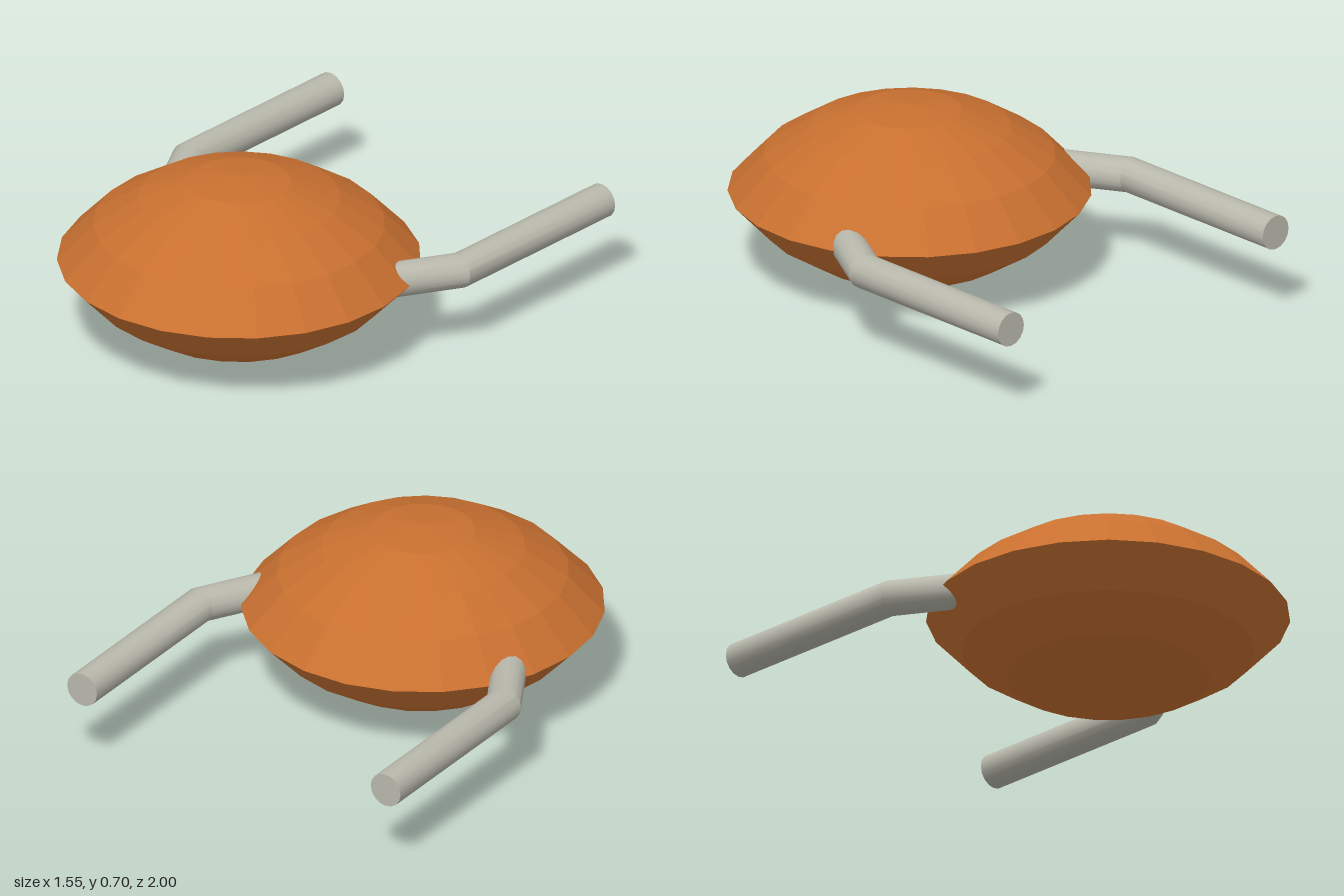
import * as THREE from 'three';
import { toCreasedNormals } from 'three/addons/utils/BufferGeometryUtils.js';

const MID_Y = 0.354;

// Bent handle: a capped cylinder whose three rings follow the path
function handleGeometry(side) {
  const rings = [
    { x: 0.705, z: -1, u: 1, w: 0 },          // free end
    { x: 0.705, z: -0.19, u: 1, w: 0.268 },   // mitred bend
    { x: 0.54, z: 0.096, u: 0.866, w: 0.5 },  // end buried in the body
  ];
  const geo = new THREE.CylinderGeometry(0.069, 0.069, 1, 16, 2).rotateX(Math.PI / 2);
  const pos = geo.attributes.position;
  for (let i = 0; i < pos.count; i++) {
    const ring = rings[Math.round((pos.getZ(i) + 0.5) * 2)];
    const off = pos.getX(i);
    pos.setX(i, side * ring.x + off * ring.u);
    pos.setZ(i, ring.z + side * off * ring.w);
  }
  return toCreasedNormals(geo, 0.48);
}

export function createModel() {
  const model = new THREE.Group();
  const orange = new THREE.MeshStandardMaterial({ color: 0xc87030, flatShading: true });
  orange.name = 'orange';
  const grey = new THREE.MeshStandardMaterial({ color: 0xb8b8ac });
  grey.name = 'warm grey';

  // Lens-shaped body, symmetric above and below its sharp rim
  const lower = [[0, -0.351], [0.2, -0.328], [0.393, -0.256], [0.563, -0.148], [0.702, 0]];
  const upper = lower.slice(0, -1).reverse().map(([r, y]) => [r, -y]);
  const profile = [...lower, ...upper].map(([r, y]) => new THREE.Vector2(r, y));
  const body = new THREE.Mesh(new THREE.LatheGeometry(profile, 23, 0.02), orange);
  body.name = 'body';
  body.position.set(0, MID_Y, 0.298);
  model.add(body);

  // Pair of handles
  for (const [name, side] of [['leftHandle', 1], ['rightHandle', -1]]) {
    const handle = new THREE.Mesh(handleGeometry(side), grey);
    handle.name = name;
    handle.position.y = MID_Y;
    model.add(handle);
  }
  return model;
}
